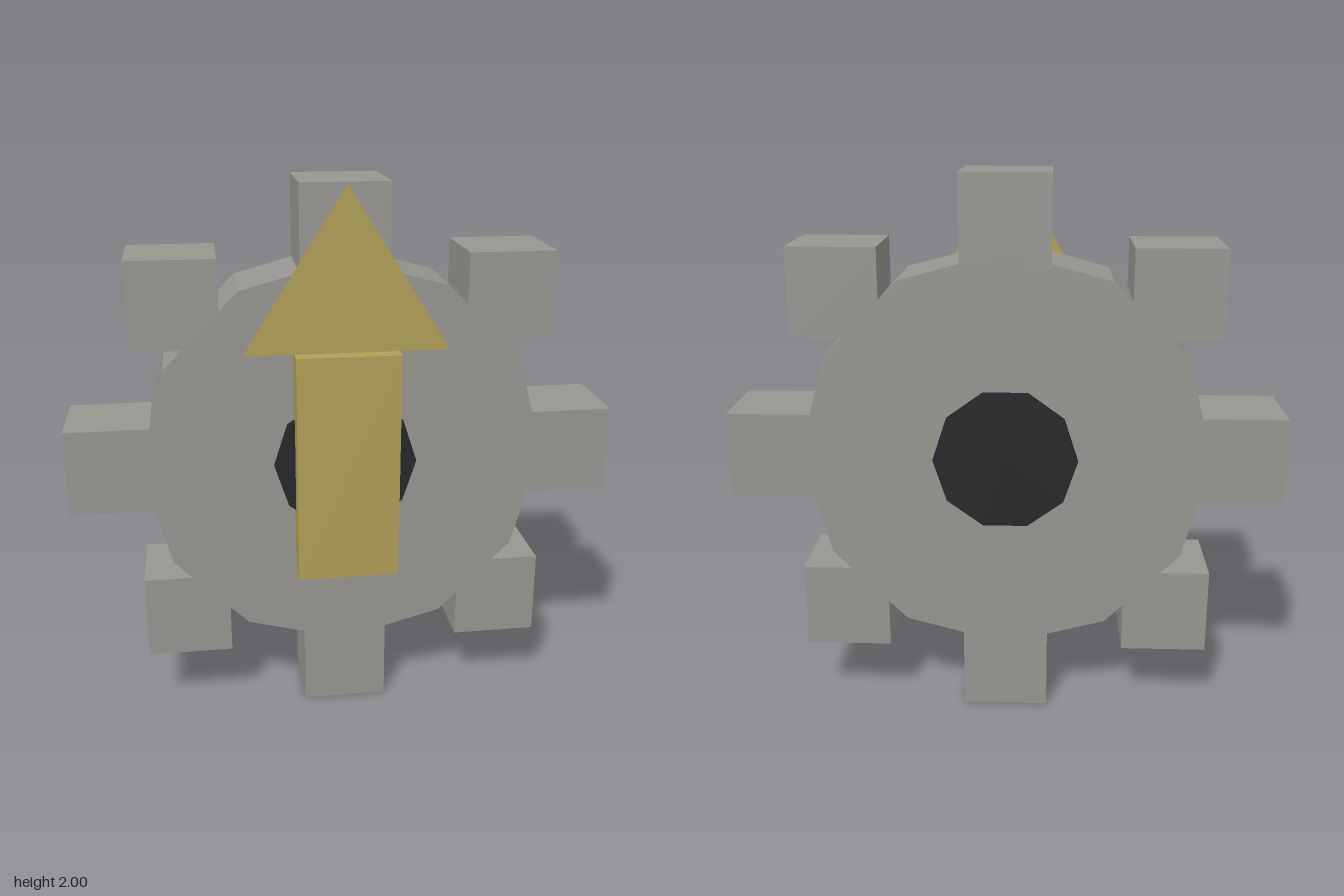
import * as THREE from 'three';

const mat = (color, side = THREE.FrontSide) =>
  new THREE.MeshStandardMaterial({ color, side, flatShading: true });

export function createModel() {
  const model = new THREE.Group();
  model.name = 'gearWithArrow';
  const stone = mat(0x979590);
  const black = mat(0x27272a);
  const gold = mat(0xb09e58);
  const goldThin = mat(0xb09e58, THREE.DoubleSide);

  const add = (name, geometry, material, x, y, z, parent = model) => {
    const mesh = new THREE.Mesh(geometry, material);
    mesh.name = name;
    mesh.position.set(x, y, z);
    parent.add(mesh);
    return mesh;
  };

  // Faceted disc lying in the xy plane, with a corner on the x axis
  const disc = (radius, depth, sides) =>
    new THREE.CylinderGeometry(radius, radius, depth, sides, 1, false, Math.PI / 2).rotateX(Math.PI / 2);

  const tooth = 0.315;
  const midZ = -0.042;

  // Gear body and the hub passing through it
  add('gearDisc', disc(0.74, tooth, 12), stone, 0, 1, midZ);
  add('hub', disc(0.26, 0.37, 10), black, 0, 1, midZ + 0.002);

  // Eight upright cubes around the rim
  const teeth = new THREE.Group();
  teeth.name = 'teeth';
  model.add(teeth);
  const cube = new THREE.BoxGeometry(tooth, tooth, tooth);
  const ring = 1 - tooth / 2;
  for (let i = 0; i < 8; i++) {
    const a = (i * Math.PI) / 4;
    add('tooth', cube, stone, ring * Math.cos(a), 1 + ring * Math.sin(a), midZ, teeth);
  }

  // Arrow: a box shaft with a flat triangular head
  const arrow = new THREE.Group();
  arrow.name = 'arrow';
  model.add(arrow);
  add('arrowShaft', new THREE.BoxGeometry(0.37, 0.843, 0.11), gold, 0, 1.003, 0.17, arrow);
  const head = new THREE.Shape([
    new THREE.Vector2(-0.365, 0),
    new THREE.Vector2(0.365, 0),
    new THREE.Vector2(0, 0.575),
  ]);
  add('arrowHead', new THREE.ShapeGeometry(head), goldThin, 0, 1.425, 0.17, arrow);

  return model;
}
